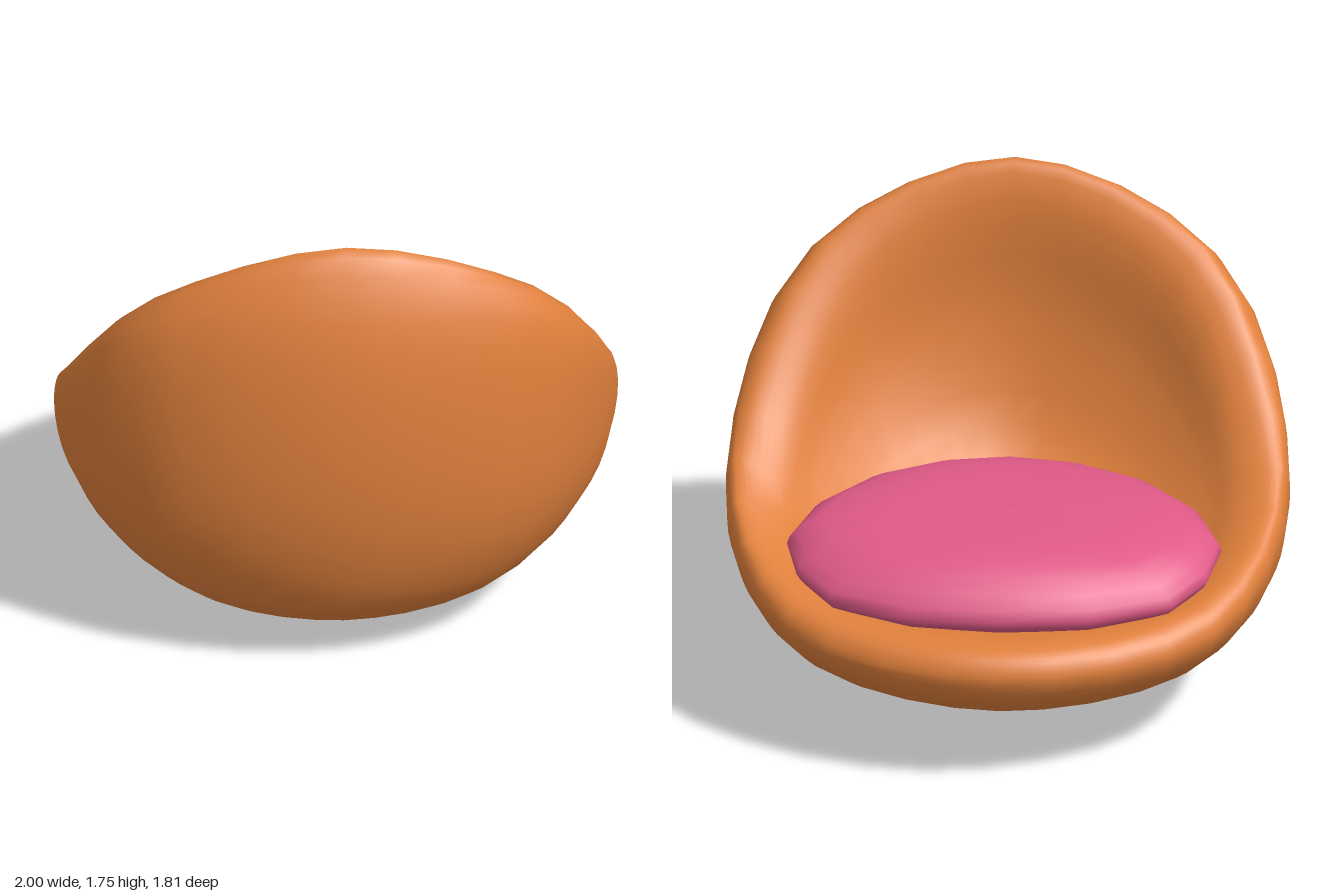
import * as THREE from 'three';

// Closed symmetric ring through five points of its +x half (from +z round to -z).
function ring(half) {
  const pts = half.map(p => new THREE.Vector3(...p));
  const mirrored = pts.slice(1, -1).reverse().map(p => new THREE.Vector3(-p.x, p.y, p.z));
  return new THREE.CatmullRomCurve3([...pts, ...mirrored], true);
}

// Smooth closed skin from a start pole, through rings, to an end pole.
function loft(start, halves, end, around, steps) {
  const rings = halves.map(ring);
  const a = new THREE.Vector3(...start), b = new THREE.Vector3(...end);
  const rows = (halves.length + 1) * steps;
  const pos = [], index = [];
  for (let i = 0; i < around; i++) {
    const column = new THREE.CatmullRomCurve3([a, ...rings.map(r => r.getPoint(i / around)), b]);
    for (let j = 0; j <= rows; j++) pos.push(...column.getPoint(j / rows).toArray());
  }
  const at = (i, j) => (i % around) * (rows + 1) + j;
  for (let i = 0; i < around; i++) {
    for (let j = 0; j < rows; j++) {
      if (j > 0) index.push(at(i, j), at(i + 1, j), at(i + 1, j + 1));
      if (j < rows - 1) index.push(at(i, j), at(i + 1, j + 1), at(i, j + 1));
    }
  }
  const geo = new THREE.BufferGeometry();
  geo.setAttribute('position', new THREE.Float32BufferAttribute(pos, 3));
  geo.setIndex(index);
  geo.computeVertexNormals();
  return geo;
}

function part(name, geometry, color) {
  const mesh = new THREE.Mesh(geometry, new THREE.MeshStandardMaterial({ color }));
  mesh.name = name;
  return mesh;
}

export function createModel() {
  const model = new THREE.Group();
  model.name = 'eggChair';

  // Shell: outside from the base up to the rim
  const shellRings = [
    [[0, 0.015, 0.36], [0.14, 0.015, 0.3], [0.2, 0.015, 0.15], [0.14, 0.015, 0.03], [0, 0.015, -0.02]],
    [[0, 0.085, 0.54], [0.35, 0.08, 0.42], [0.47, 0.08, 0.16], [0.33, 0.07, -0.13], [0, 0.075, -0.28]],
    [[0, 0.28, 0.76], [0.53, 0.26, 0.58], [0.78, 0.25, 0.12], [0.54, 0.2, -0.36], [0, 0.2, -0.6]],
    [[0, 0.6, 0.875], [0.66, 0.56, 0.68], [0.95, 0.5, 0.1], [0.69, 0.36, -0.54], [0, 0.33, -0.83]],
    [[0, 1.05, 0.905], [0.75, 0.97, 0.67], [1, 0.75, 0.08], [0.76, 0.49, -0.585], [0, 0.45, -0.905]],
    [[0, 1.52, 0.83], [0.75, 1.36, 0.62], [0.98, 0.85, 0.06], [0.75, 0.56, -0.57], [0, 0.52, -0.885]],
    [[0, 1.755, 0.69], [0.67, 1.48, 0.55], [0.93, 0.85, 0.04], [0.71, 0.595, -0.53], [0, 0.555, -0.83]],
  ];
  // Lining: a shallow scoop from the rim down to the seat
  const liningRings = [
    [[0, 1.62, 0.635], [0.58, 1.37, 0.49], [0.82, 0.79, 0.02], [0.64, 0.585, -0.46], [0, 0.555, -0.7]],
    [[0, 1.15, 0.635], [0.49, 0.98, 0.46], [0.7, 0.67, 0], [0.55, 0.55, -0.38], [0, 0.53, -0.58]],
    [[0, 0.68, 0.48], [0.35, 0.65, 0.32], [0.5, 0.56, 0], [0.38, 0.52, -0.28], [0, 0.51, -0.42]],
  ];
  const shell = loft([0, 0, 0.18], [...shellRings, ...liningRings], [0, 0.52, 0.03], 32, 4);
  model.add(part('shell', shell, 0xe0803c));

  // Seat cushion: underside, bulging edge, nearly flat top
  const cushionRings = [
    [[0, 0.5, 0.28], [0.36, 0.5, 0.12], [0.58, 0.52, -0.22], [0.45, 0.5, -0.47], [0, 0.5, -0.6]],
    [[0, 0.65, 0.42], [0.52, 0.67, 0.21], [0.77, 0.67, -0.24], [0.61, 0.61, -0.58], [0, 0.61, -0.735]],
    [[0, 0.765, 0.3], [0.41, 0.78, 0.13], [0.66, 0.76, -0.22], [0.46, 0.75, -0.51], [0, 0.77, -0.57]],
  ];
  const cushion = loft([0, 0.46, -0.15], cushionRings, [0, 0.8, -0.2], 16, 4);
  model.add(part('seatCushion', cushion, 0xe05a87));

  return model;
}
